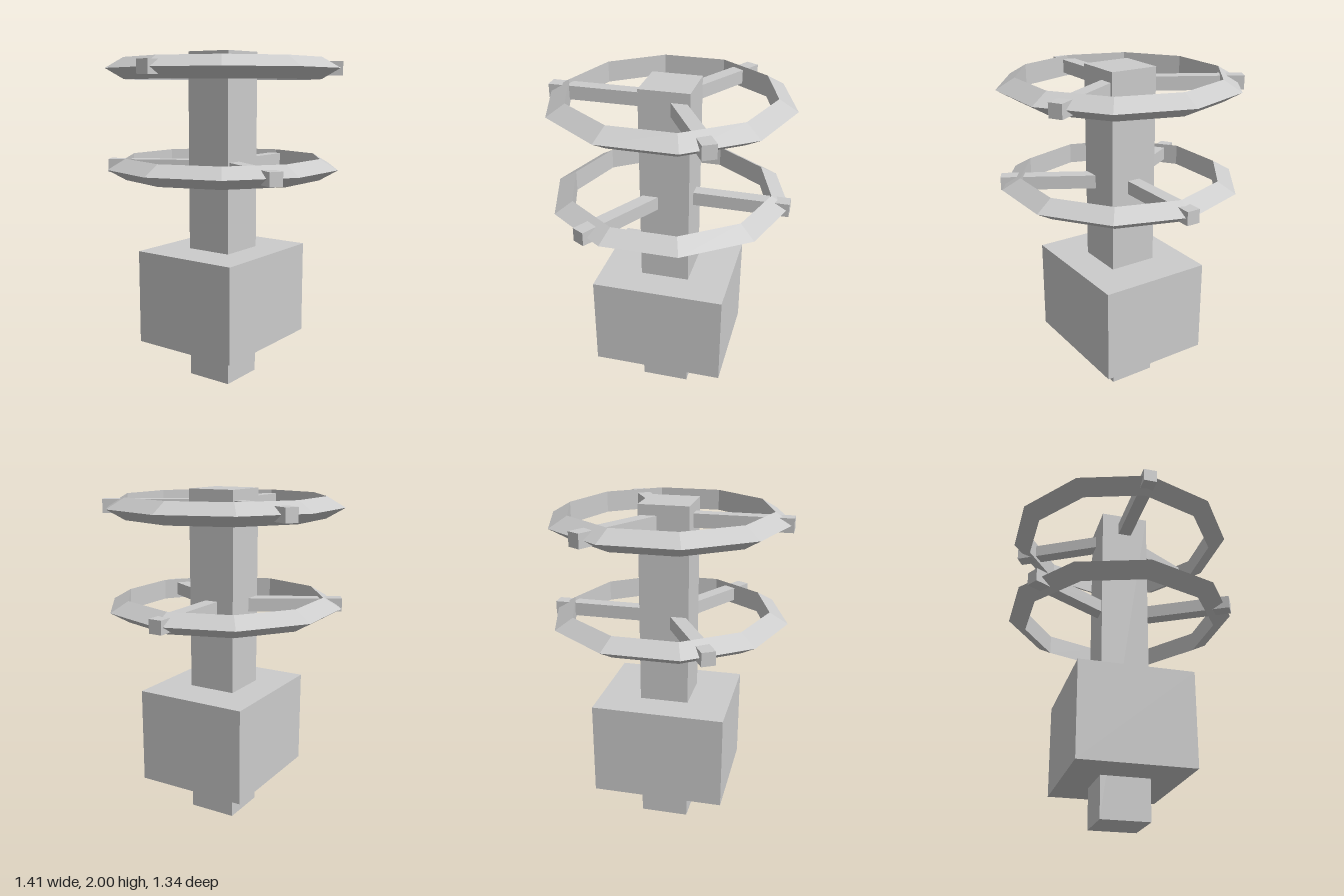
import * as THREE from 'three';

const material = new THREE.MeshStandardMaterial({ color: 0xcccccc, flatShading: true });

function add(parent, name, geometry, x = 0, y = 0, z = 0) {
  const mesh = new THREE.Mesh(geometry, material);
  mesh.name = name;
  mesh.position.set(x, y, z);
  parent.add(mesh);
  return mesh;
}

// Ten-sided ring of triangular section, carried on three spokes
function createWheel(name, y, turn) {
  const wheel = new THREE.Group();
  wheel.name = name;
  wheel.position.y = y;

  const ring = new THREE.TorusGeometry(0.63, 0.072, 3, 10);
  ring.rotateX(Math.PI / 2);
  add(wheel, 'ring', ring);

  // Spokes run from inside the column to just past the rim
  const inner = 0.05, outer = 0.704;
  for (let i = 0; i < 3; i++) {
    const spoke = new THREE.BoxGeometry(outer - inner, 0.08, 0.08);
    spoke.translate((outer + inner) / 2, 0, 0);
    add(wheel, 'spoke', spoke).rotation.y = turn + (i * Math.PI * 2) / 3;
  }
  return wheel;
}

export function createModel() {
  const model = new THREE.Group();
  model.name = 'handle';

  // Square column through the full height
  add(model, 'column', new THREE.BoxGeometry(0.292, 2, 0.292), 0, 1, 0);

  // Wide block near the foot
  add(model, 'block', new THREE.BoxGeometry(0.79, 0.57, 0.68), 0, 0.53, 0);

  // Two wheels, their spokes pointing opposite ways
  model.add(createWheel('upperWheel', 1.9, Math.PI));
  model.add(createWheel('lowerWheel', 1.319, 0));
  return model;
}
